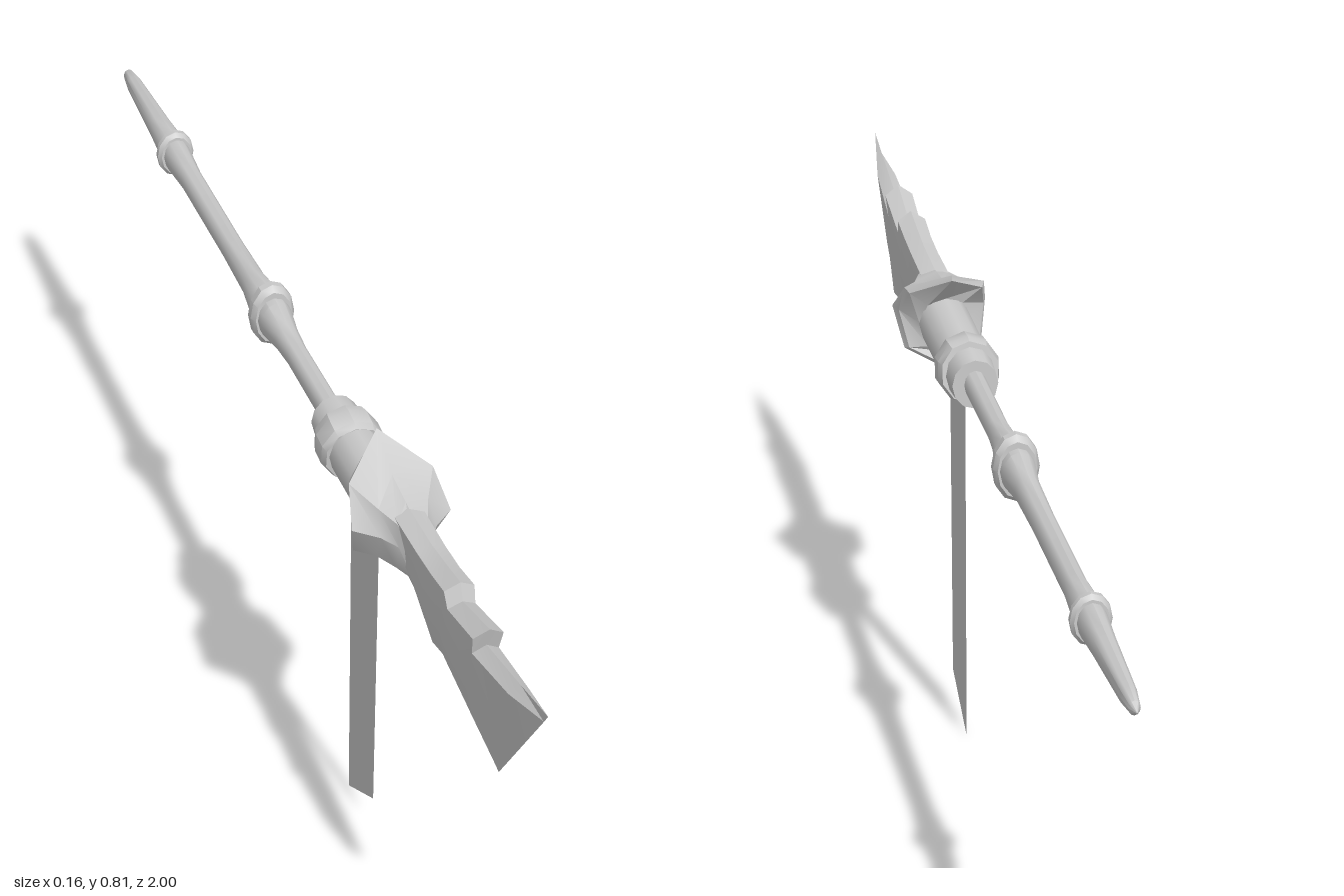
import * as THREE from 'three';
import { toCreasedNormals } from 'three/addons/utils/BufferGeometryUtils.js';

const AXIS_Y = 0.703;
const grey = new THREE.MeshStandardMaterial({ color: 0xcccccc, side: THREE.DoubleSide });

function addMesh(group, name, geometry, crease = 0.6) {
  const mesh = new THREE.Mesh(toCreasedNormals(geometry, crease), grey);
  mesh.name = name;
  group.add(mesh);
  return mesh;
}

// Turned part lying along z: profile of [z, radius], flattened sideways by squash
function turned(profile, sides, squash) {
  const pts = profile.map(([z, r]) => new THREE.Vector2(r, z));
  return new THREE.LatheGeometry(pts, sides).rotateX(Math.PI / 2).scale(squash, 1, 1);
}

// Half section from bottom to top on +x, mirrored into a closed ring
function mirrorRing(half) {
  const other = half.slice(1, -1).reverse().map(([x, y, z]) => [-x, y, z]);
  return [...half, ...other];
}

// Skin through closed rings ordered from back to front
function loft(rings) {
  const n = rings[0].length;
  const index = [];
  for (let i = 0; i < rings.length - 1; i++) {
    for (let j = 0; j < n; j++) {
      const a = i * n + j, b = i * n + (j + 1) % n;
      index.push(a, b, b + n, a, b + n, a + n);
    }
  }
  const g = new THREE.BufferGeometry();
  g.setAttribute('position', new THREE.Float32BufferAttribute(rings.flat(2), 3));
  g.setIndex(index);
  g.computeVertexNormals();
  return g;
}

export function createModel() {
  const model = new THREE.Group();

  // Slender handle swelling towards its two rings, pointed at the end
  addMesh(model, 'shaft', turned([
    [-1, 0.001], [-0.985, 0.012], [-0.95, 0.018], [-0.8, 0.026], [-0.74, 0.031], [-0.69, 0.031],
    [-0.62, 0.025], [-0.4, 0.025], [-0.29, 0.028], [-0.23, 0.038], [-0.17, 0.038],
    [-0.12, 0.028], [-0.07, 0.024], [0.14, 0.025],
  ], 12, 0.74)).position.y = AXIS_Y;

  for (const [z, r, half, squash] of [[-0.2, 0.058, 0.016, 0.65], [-0.715, 0.043, 0.011, 0.75]]) {
    const ring = addMesh(model, 'shaftRing', turned([
      [-half, r * 0.6], [-half, r * 0.84], [-half * 0.4, r], [half * 0.4, r], [half, r * 0.84], [half, r * 0.6],
    ], 12, squash));
    ring.position.set(0, AXIS_Y, z);
  }

  // Socket between shaft and guard
  addMesh(model, 'socket', turned([
    [0.108, 0.015], [0.108, 0.043], [0.16, 0.047], [0.4, 0.049], [0.4, 0.01],
  ], 12, 0.89)).position.y = AXIS_Y;

  const collar = addMesh(model, 'collar', turned([
    [-0.028, 0.04], [-0.028, 0.053], [-0.012, 0.058], [0.016, 0.058], [0.028, 0.053], [0.028, 0.04],
  ], 10, 0.92));
  collar.position.set(0, AXIS_Y, 0.176);
  collar.rotation.x = 0.14;

  // Flared guard: dished back, raised rim, front closing down onto the blade
  addMesh(model, 'guard', loft([
    [[0, 0.655, 0.35], [0.03, 0.665, 0.355], [0.043, 0.705, 0.365], [0.03, 0.74, 0.355], [0, 0.752, 0.35]],
    [[0, 0.638, 0.325], [0.06, 0.66, 0.368], [0.073, 0.72, 0.392], [0.062, 0.767, 0.35], [0, 0.806, 0.298]],
    [[0, 0.63, 0.33], [0.066, 0.655, 0.38], [0.08, 0.72, 0.413], [0.068, 0.772, 0.365], [0, 0.815, 0.3]],
    [[0, 0.645, 0.38], [0.042, 0.667, 0.42], [0.045, 0.72, 0.444], [0.04, 0.756, 0.42], [0, 0.776, 0.37]],
    [[0, 0.65, 0.43], [0.025, 0.67, 0.46], [0.027, 0.72, 0.475], [0.025, 0.753, 0.46], [0, 0.767, 0.43]],
    [[0, 0.66, 0.5], [0.015, 0.68, 0.5], [0.015, 0.72, 0.5], [0.015, 0.74, 0.5], [0, 0.755, 0.5]],
  ].map(mirrorRing)), 0.5);

  // Blade sections: top z, top y, bottom z, bottom y, half width, lower fullness
  const sections = [
    [0.38, 0.757, 0.38, 0.655, 0.024, 0.9],
    [0.45, 0.765, 0.42, 0.648, 0.024, 0.9],
    [0.54, 0.767, 0.478, 0.633, 0.023, 0.85],
    [0.6, 0.775, 0.553, 0.59, 0.023, 0.8],
    [0.66, 0.785, 0.596, 0.6, 0.024, 0.75],
    [0.67, 0.757, 0.61, 0.597, 0.022, 0.75],
    [0.778, 0.787, 0.7, 0.581, 0.024, 0.65],
    [0.767, 0.75, 0.715, 0.578, 0.021, 0.65],
    [0.9, 0.778, 0.805, 0.563, 0.016, 0.55],
    [1, 0.8, 0.83, 0.558, 0.0005, 0.55],
  ];
  addMesh(model, 'blade', loft(sections.map(([tz, ty, bz, by, w, full]) => {
    const at = (x, t) => [x, by + (ty - by) * t, bz + (tz - bz) * t];
    return mirrorRing([at(0, 0), at(w * full, 0.4), at(w, 0.92), at(0, 1)]);
  })), 0.5);

  // Thin cloth strip hanging from the socket
  const strip = new THREE.Shape();
  strip.moveTo(-0.318, 0.665).lineTo(-0.305, 0.068).lineTo(-0.188, 0).lineTo(-0.19, 0.665);
  addMesh(model, 'hangingStrip', new THREE.ShapeGeometry(strip).rotateY(Math.PI / 2));

  return model;
}
